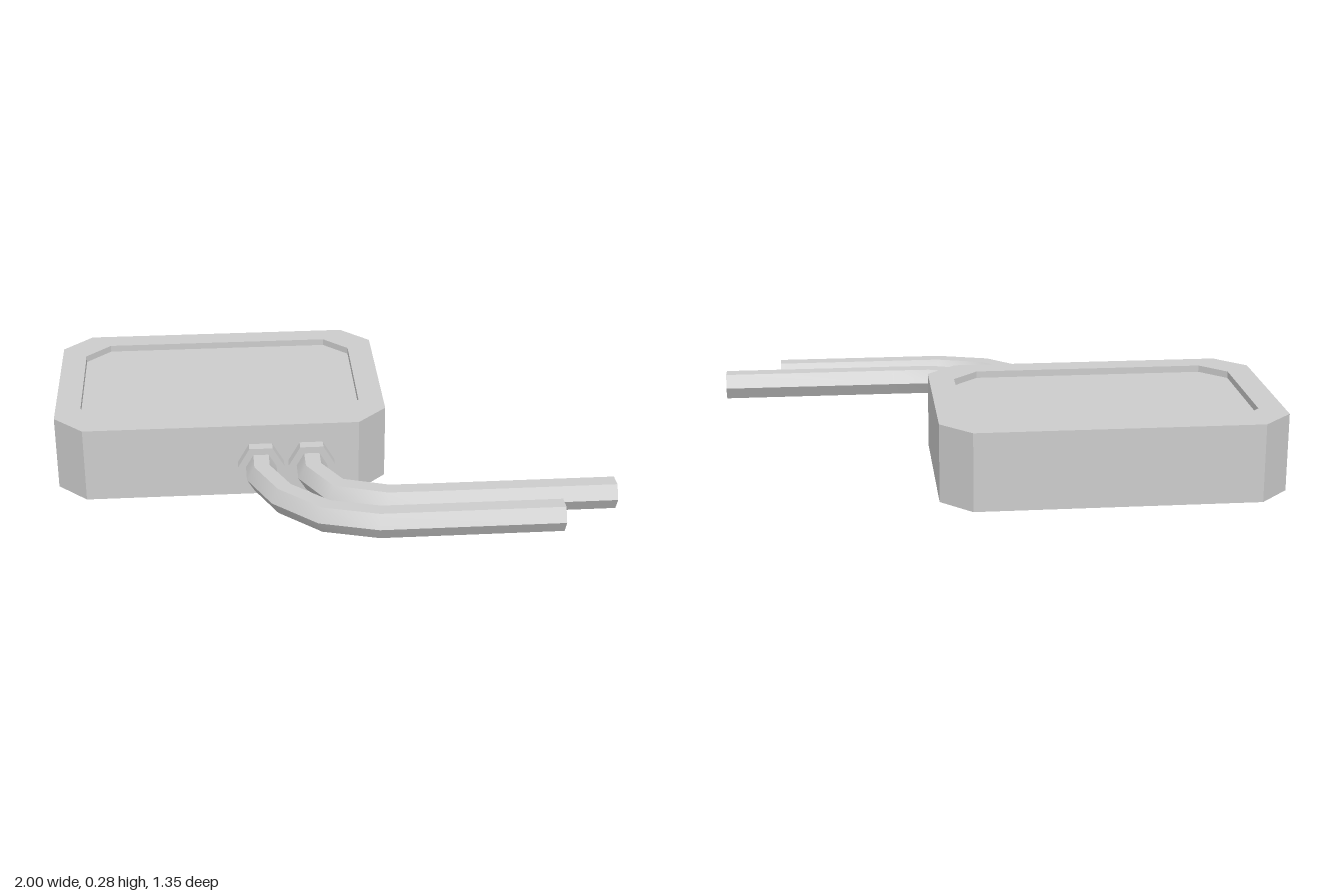
import * as THREE from 'three';
import { toCreasedNormals } from 'three/addons/utils/BufferGeometryUtils.js';

const flat = new THREE.MeshStandardMaterial({ color: 0xcccccc, flatShading: true, side: THREE.DoubleSide });
const smooth = new THREE.MeshStandardMaterial({ color: 0xcccccc, side: THREE.DoubleSide });
const HEIGHT = 0.283, RECESS = 0.025, FRONT = 0.152, FLANGE_Z = 0.192;
const PIPE_Y = 0.134, PIPE_R = 0.056, FLANGE_R = 0.085;

function addMesh(parent, name, geometry, material = flat) {
  const mesh = new THREE.Mesh(geometry, material);
  mesh.name = name;
  parent.add(mesh);
  return mesh;
}

// Joins closed rings of points with quads; skip leaves out one side
function loft(rings, skip = -1) {
  const pos = [];
  for (let i = 0; i + 1 < rings.length; i++) {
    const n = rings[i].length;
    for (let j = 0; j < n; j++) {
      if (j === skip) continue;
      const k = (j + 1) % n;
      const a = rings[i][j], b = rings[i][k], c = rings[i + 1][k], d = rings[i + 1][j];
      pos.push(...a, ...b, ...c, ...a, ...c, ...d);
    }
  }
  const g = new THREE.BufferGeometry();
  g.setAttribute('position', new THREE.Float32BufferAttribute(pos, 3));
  g.computeVertexNormals();
  return g;
}

// Rectangle with cut corners, starting with its front edge
function octagon(x0, x1, z0, z1, c, y) {
  return [[x0 + c, z1], [x1 - c, z1], [x1, z1 - c], [x1, z0 + c],
    [x1 - c, z0], [x0 + c, z0], [x0, z0 + c], [x0, z1 - c]].map(([x, z]) => [x, y, z]);
}

// Upright hexagon around (x, z); (nx, nz) points sideways
function hexagon(x, z, r, nx = 1, nz = 0) {
  return Array.from({ length: 6 }, (_, i) => {
    const t = i * Math.PI / 3, s = r * Math.cos(t);
    return [x + nx * s, PIPE_Y + r * Math.sin(t), z + nz * s];
  });
}

// Hexagonal tube along a path of [x, z] points: mitred bends, smooth along its length
function pipe(path) {
  const p = path.map(([x, z]) => new THREE.Vector2(x, z));
  const dirs = p.slice(1).map((q, i) => q.clone().sub(p[i]).normalize());
  return toCreasedNormals(loft(p.map((q, i) => {
    const a = dirs[Math.max(i - 1, 0)], b = dirs[Math.min(i, dirs.length - 1)];
    const d = a.clone().add(b).normalize();
    const miter = 1 / d.dot(a);
    return hexagon(q.x, q.y, PIPE_R, d.y * miter, -d.x * miter);
  })), 0.8);
}

export function createModel() {
  const model = new THREE.Group();
  const paths = [
    [[-0.247, FLANGE_Z], [-0.247, 0.277], [-0.175, 0.432], [-0.038, 0.565], [0.147, 0.62], [0.788, 0.62]],
    [[-0.061, FLANGE_Z], [-0.061, 0.277], [0.017, 0.416], [0.19, 0.475], [0.34, 0.477], [1, 0.477]],
  ];

  // Casing open at the bottom
  const casing = new THREE.Group();
  casing.name = 'casing';
  model.add(casing);
  const outer = y => octagon(-1, 0.223, -0.676, FRONT, 0.108, y);
  const inner = y => octagon(-0.907, 0.13, -0.588, 0.06, 0.092, y);
  addMesh(casing, 'sideWalls', loft([outer(0), outer(HEIGHT)], 0));
  addMesh(casing, 'topRim', loft([outer(HEIGHT), inner(HEIGHT), inner(HEIGHT - RECESS)]));

  // Sunken top panel, reaching under the rim to the walls
  const panel = new THREE.Shape(outer(0).map(([x, , z]) => new THREE.Vector2(x, -z)));
  addMesh(casing, 'topPanel', new THREE.ShapeGeometry(panel).rotateX(-Math.PI / 2)).position.y = HEIGHT - RECESS;

  // Front wall with an opening behind each flange
  const [[left], [right]] = outer(0);
  const wall = new THREE.Shape([[left, 0], [right, 0], [right, HEIGHT], [left, HEIGHT]]
    .map(([x, y]) => new THREE.Vector2(x, y)));
  for (const [[x]] of paths) {
    wall.holes.push(new THREE.Path(hexagon(x, 0, FLANGE_R).map(([a, b]) => new THREE.Vector2(a, b))));
  }
  addMesh(casing, 'frontWall', new THREE.ShapeGeometry(wall)).position.z = FRONT;

  // Capped flanges and hollow bent pipes
  paths.forEach((path, i) => {
    const x = path[0][0], side = i ? 'left' : 'right';
    const rim = hexagon(x, FLANGE_Z, FLANGE_R);
    addMesh(model, side + 'FlangeSides', loft([hexagon(x, FRONT, FLANGE_R), rim]));
    const cap = new THREE.Shape(rim.map(([a, b]) => new THREE.Vector2(a, b)));
    addMesh(model, side + 'FlangeCap', new THREE.ShapeGeometry(cap)).position.z = FLANGE_Z;
    addMesh(model, side + 'Pipe', pipe(path), smooth);
  });
  return model;
}
